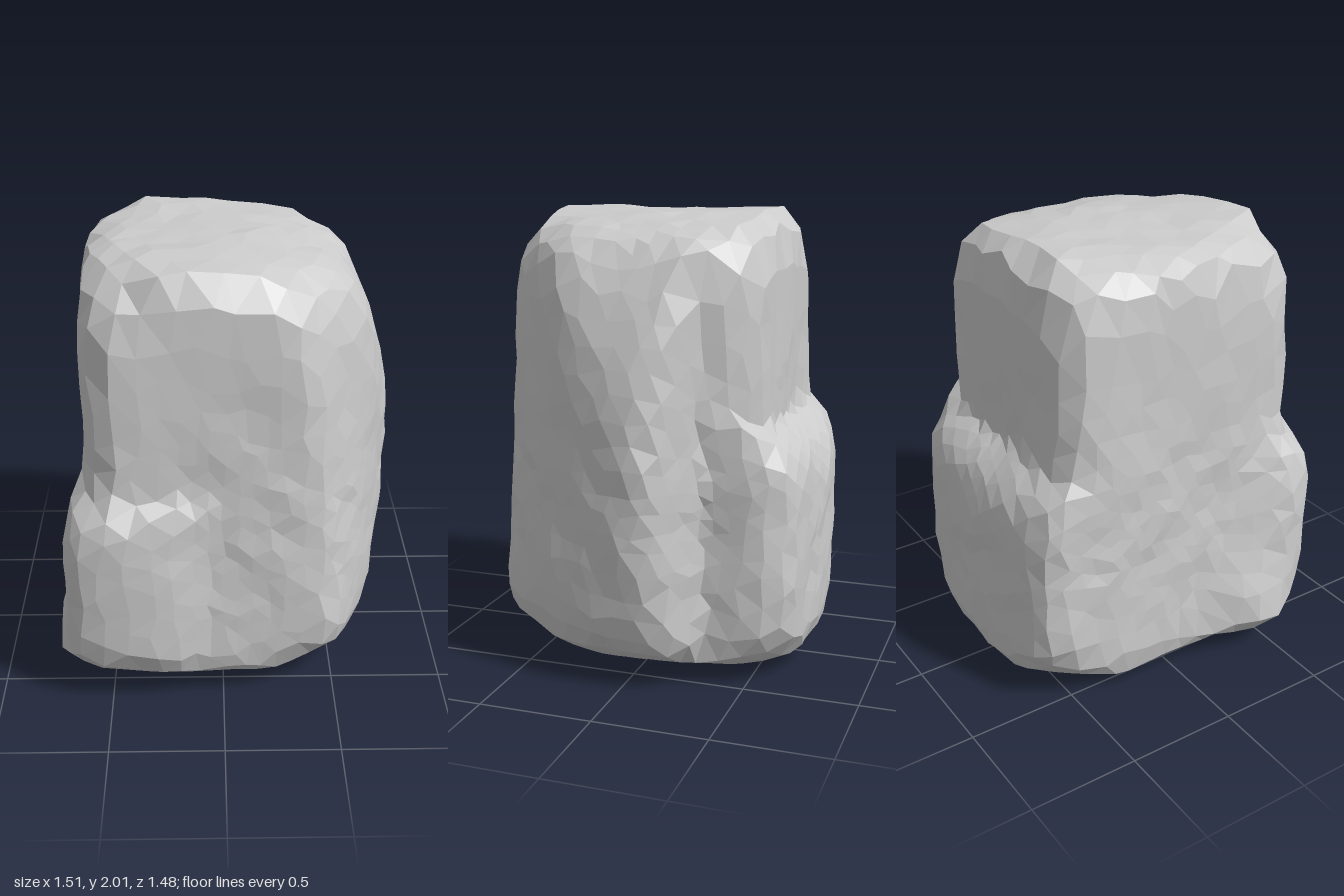
import * as THREE from 'three';
import { mergeVertices } from 'three/addons/utils/BufferGeometryUtils.js';

const CORE_Y = 0.8; // height of the point all the slabs share

// A cut plane: outward direction and one point that lies on it
function cut(nx, ny, nz, px, py, pz) {
  const n = new THREE.Vector3(nx, ny, nz).normalize();
  const d = n.dot(new THREE.Vector3(px, py - CORE_Y, pz));
  return n.divideScalar(d);
}

// Worn underside with trimmed corners, shared by every slab
const underside = [
  cut(0, -1, 0, 0, 0, 0),
  cut(0.6, -0.8, 0, 0.6, 0.12, 0),
  cut(0.25, -0.97, 0, 0.35, 0.02, 0),
  cut(-0.6, -0.8, 0, -0.64, 0.11, 0),
  cut(0, -0.7, 0.7, 0, 0.13, 0.65),
  cut(0, -0.93, 0.37, 0, 0.03, 0.45),
  cut(0, -0.8, -0.6, 0, 0.05, -0.67),
  cut(0.5, -0.7, 0.5, 0.42, 0.12, 0.46),
  cut(0.5, -0.7, -0.5, 0.44, 0.12, -0.52),
  cut(-0.5, -0.7, -0.5, -0.47, 0.12, -0.52),
  cut(-0.5, -0.7, 0.5, -0.56, 0.1, 0.6),
];

// Sloped shoulder, crown and the worn front corner
const crown = [
  cut(0, 1, 0, 0, 2.005, 0),
  cut(0.87, 0.49, 0, 0.69, 1.66, 0),
  cut(0.33, 0.94, 0, 0.53, 1.92, 0),
  cut(0.75, 0.09, 0.66, 0.37, 1.4, 0.62),
  cut(0.55, 0.6, 0.55, 0.42, 1.89, 0.43),
];

const mainBlock = [
  ...underside, ...crown,
  cut(-1, 0, 0, -0.6, 1, 0),
  cut(1, 0, 0, 0.54, 1, 0),
  cut(0.05, 0.02, 1, 0, 1.2, 0.635),
  cut(0, 0, -1, 0, 1, -0.545),
  cut(0.8, 0, -0.6, 0.48, 1, -0.44),
  cut(-0.83, 0, 0.55, -0.56, 1, 0.57),
  cut(-0.7, 0, -0.7, -0.55, 1, -0.49),
  // worn top edges and corners
  cut(0, 0.7, 0.7, 0, 1.92, 0.6),
  cut(0, 0.7, -0.7, 0, 1.94, -0.51),
  cut(-0.7, 0.7, 0, -0.59, 1.95, 0),
  cut(-0.5, 0.7, 0.5, -0.5, 1.93, 0.54),
  cut(-0.5, 0.7, -0.5, -0.5, 1.94, -0.46),
  cut(0.5, 0.7, -0.5, 0.42, 1.92, -0.44),
];

const sideRidge = [
  ...underside, ...crown,
  cut(1, 0, 0, 0.77, 1, 0),
  cut(0.935, 0, 0.356, 0.775, 1, -0.03),
  cut(0.6, 0, -0.8, 0.775, 1, -0.14),
  cut(0, 0, 1, 0, 1, 0.62),
  cut(0, 0, -1, 0, 1, -0.5),
  cut(-1, 0, 0, -0.4, 1, 0),
  cut(0.96, 0.28, 0, 0.765, 1.3, 0),
  cut(0.97, -0.2, 0, 0.77, 0.55, 0),
];

const backLedge = [
  ...underside,
  cut(0, 0, -1, 0, 0.6, -0.745),
  cut(0.12, 0, -1, 0.42, 0.6, -0.7),
  cut(-0.12, 0, -1, -0.5, 0.6, -0.69),
  cut(-1, 0, 0, -0.59, 0.6, 0),
  cut(1, 0, 0, 0.53, 0.6, 0),
  cut(0.8, 0, -0.6, 0.48, 0.6, -0.63),
  cut(-0.7, 0, -0.7, -0.57, 0.6, -0.64),
  cut(0, 0.75, -0.66, 0, 1.12, -0.54),
  cut(0, 0.4, -0.9, 0, 0.9, -0.73),
  cut(0, 1, 0, 0, 1.5, 0),
  cut(0, 0, 1, 0, 0.6, 0.4),
];

const frontLedge = [
  ...underside,
  cut(-1, 0, 0, -0.7, 0.6, 0.4),
  cut(1, 0, 0, 0.3, 0.6, 0),
  cut(0, 0, 1, -0.4, 0.6, 0.75),
  cut(0, 0, -1, 0, 0.6, -0.3),
  cut(-2.6, 0.45, -1, -0.6, 0.9, 0.32),
  cut(0.4, 0, 0.92, -0.27, 0.6, 0.745),
  cut(-0.85, 0, 0.53, -0.67, 0.6, 0.67),
  cut(0, 0.85, 0.45, -0.4, 1.04, 0.64),
  cut(-0.6, 0.65, 0.45, -0.66, 0.97, 0.6),
  cut(0, 1, 0, 0, 1.5, 0),
];

const slabs = [mainBlock, sideRidge, backLedge, frontLedge];

// Distance from the core to a slab's softened surface along a direction
function reach(planes, dir) {
  const p = 28;
  let sum = 0;
  for (const n of planes) sum += Math.pow(Math.max(0, n.dot(dir)), p);
  return Math.pow(sum, -1 / p);
}

// Repeatable value in -0.5..0.5 for a point
function grain(v, seed) {
  const s = Math.sin(Math.round(v.x * 500) * 12.99 + Math.round(v.y * 500) * 78.23
    + Math.round(v.z * 500) * 37.72 + seed * 17.1) * 43758.5453;
  return s - Math.floor(s) - 0.5;
}

function stoneGeometry() {
  let geo = new THREE.IcosahedronGeometry(1, 10);
  geo.deleteAttribute('normal');
  geo.deleteAttribute('uv');
  geo = mergeVertices(geo, 1e-4);
  const pos = geo.attributes.position;
  const spur = new THREE.Vector3(-0.72, 0.25 - CORE_Y, 0.4).normalize();
  const dir = new THREE.Vector3();
  const base = new THREE.Vector3();
  for (let i = 0; i < pos.count; i++) {
    base.fromBufferAttribute(pos, i);
    // uneven facets, spread a little more evenly over the tall shape
    dir.copy(base);
    dir.y *= 1.2;
    dir.x += grain(base, 1) * 0.05;
    dir.y += grain(base, 2) * 0.05;
    dir.z += grain(base, 3) * 0.05;
    dir.normalize();
    let r = Math.max(...slabs.map((s) => reach(s, dir)));
    // small spur low on the front ledge
    r += 0.09 * Math.exp(-(1 - dir.dot(spur)) * 90);
    // broad waves and chipped roughness
    r += 0.008 * Math.sin(dir.x * 9 + dir.y * 7) * Math.sin(dir.z * 8 - dir.y * 5);
    r += grain(base, 4) * 0.01;
    // the lowest points rest on the ground
    pos.setXYZ(i, dir.x * r, Math.max(0, CORE_Y + dir.y * r), dir.z * r);
  }
  geo = geo.toNonIndexed();
  geo.computeVertexNormals();
  return geo;
}

export function createModel() {
  const group = new THREE.Group();
  group.name = 'rock';
  const material = new THREE.MeshStandardMaterial({ color: 0xcccccc, flatShading: true });
  const stone = new THREE.Mesh(stoneGeometry(), material);
  stone.name = 'boulder';
  group.add(stone);
  return group;
}
